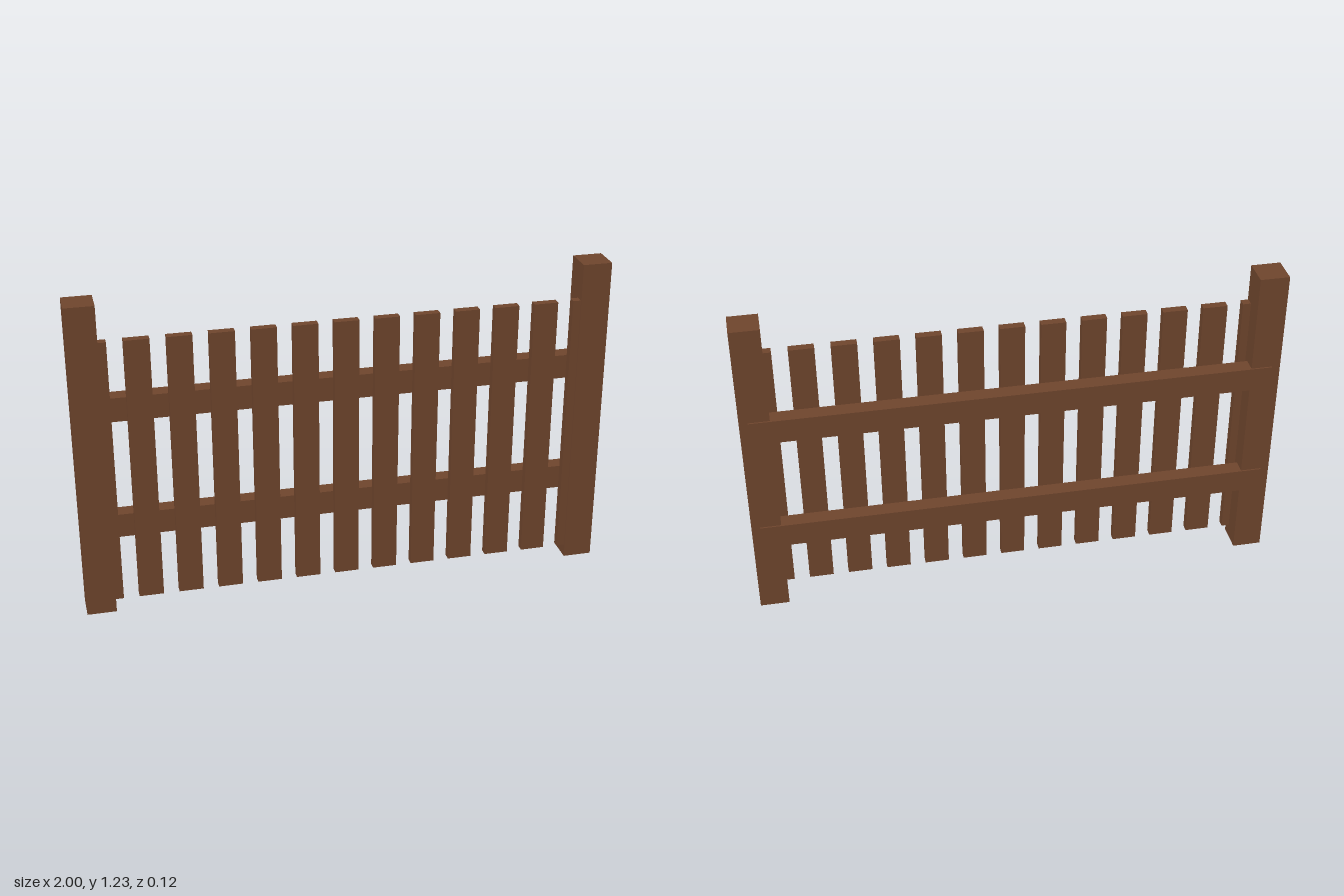
import * as THREE from 'three';

export function createModel() {
  const fence = new THREE.Group();
  fence.name = 'picketFence';
  const wood = new THREE.MeshStandardMaterial({ name: 'brownWood', color: 0x70462d });

  // Box given by its extents along each axis
  function board(name, [x0, x1], [y0, y1], [z0, z1]) {
    const mesh = new THREE.Mesh(new THREE.BoxGeometry(x1 - x0, y1 - y0, z1 - z0), wood);
    mesh.position.set((x0 + x1) / 2, (y0 + y1) / 2, (z0 + z1) / 2);
    mesh.name = name;
    fence.add(mesh);
  }

  // End posts
  board('leftPost', [0.89, 1], [0, 1.226], [-0.052, 0.058]);
  board('rightPost', [-1, -0.89], [0, 1.226], [-0.052, 0.058]);

  // Horizontal rails, standing slightly proud of the posts at the back
  board('lowerRail', [-0.968, 0.968], [0.285, 0.378], [-0.058, 0.002]);
  board('upperRail', [-0.968, 0.968], [0.756, 0.849], [-0.058, 0.002]);

  // Evenly spaced pickets; the outermost pair runs into the posts
  const spacing = 0.151, halfWidth = 0.046;
  for (let i = -6; i <= 6; i++) {
    const x = i * spacing;
    board(`picket${i + 7}`, [x - halfWidth, x + halfWidth], [0.05, 1.086], [0.022, 0.053]);
  }

  return fence;
}
